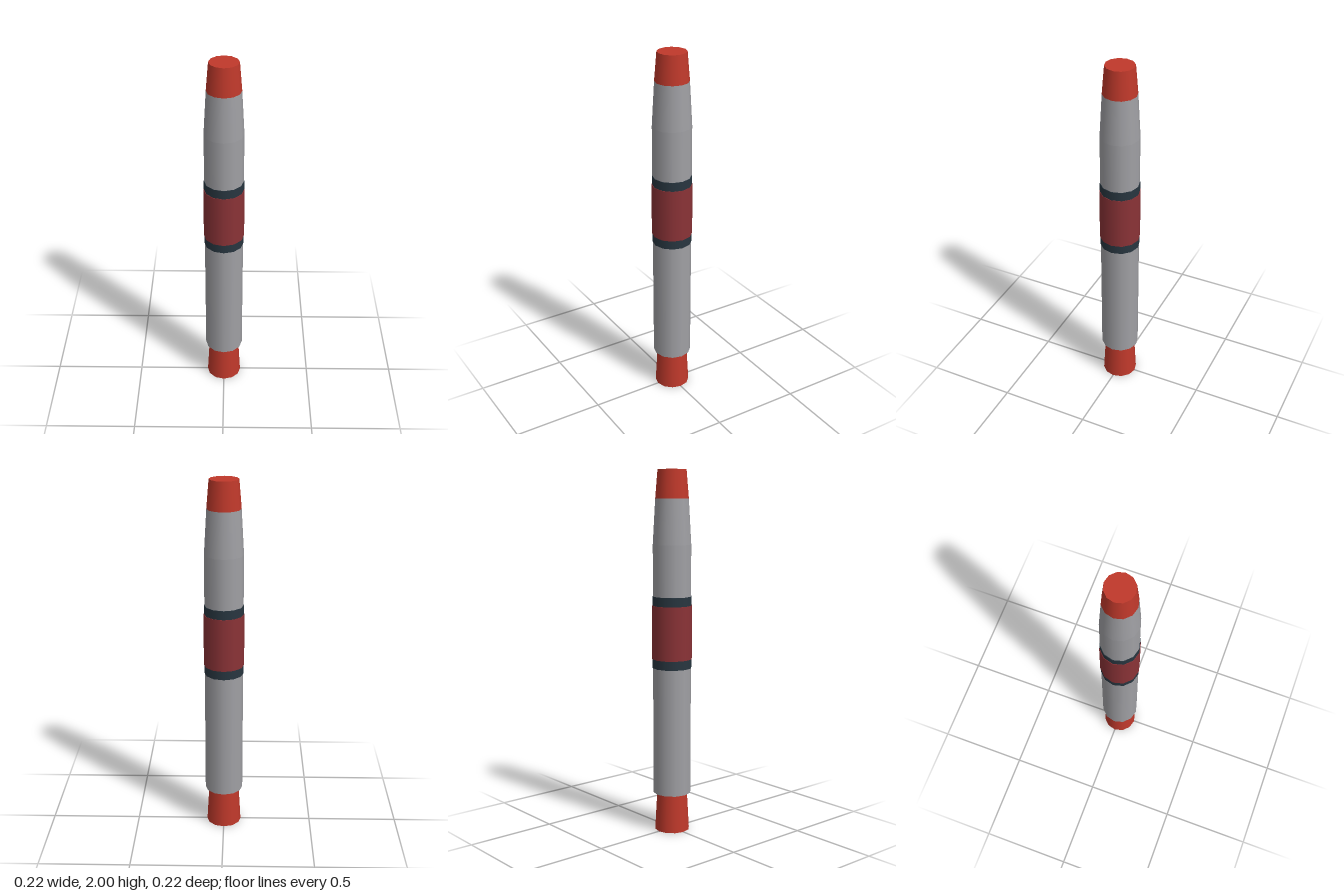
import * as THREE from 'three';

const SIDES = 12;

function material(name, color) {
  const m = new THREE.MeshStandardMaterial({ color });
  m.name = name;
  return m;
}

export function createModel() {
  const red = material('red', 0xc0392b);
  const grey = material('grey', 0xa0a0a4);
  const dark = material('dark slate', 0x283640);
  const maroon = material('maroon', 0x8b3337);

  const group = new THREE.Group();
  group.name = 'baton';

  // Upright section from y0 to y1, with its bottom and top radius
  function section(name, mat, y0, y1, rBottom, rTop = rBottom, open = false) {
    const geometry = new THREE.CylinderGeometry(rTop, rBottom, y1 - y0, SIDES, 1, open);
    const mesh = new THREE.Mesh(geometry, mat);
    mesh.name = name;
    mesh.position.y = (y0 + y1) / 2;
    group.add(mesh);
  }

  // Flared foot
  section('foot', red, 0, 0.215, 0.097, 0.085);

  // Main tube and its tapered shoulder
  section('tube', grey, 0.215, 1.6, 0.106);
  section('shoulder', grey, 1.6, 1.845, 0.106, 0.092);

  // Grip sleeve between two dark rings
  section('lowerRing', dark, 0.925, 0.975, 0.1085);
  section('grip', maroon, 0.975, 1.27, 0.111);
  section('upperRing', dark, 1.27, 1.32, 0.1085);

  // Tapered tip
  section('tip', red, 1.845, 2, 0.092, 0.079);

  return group;
}
